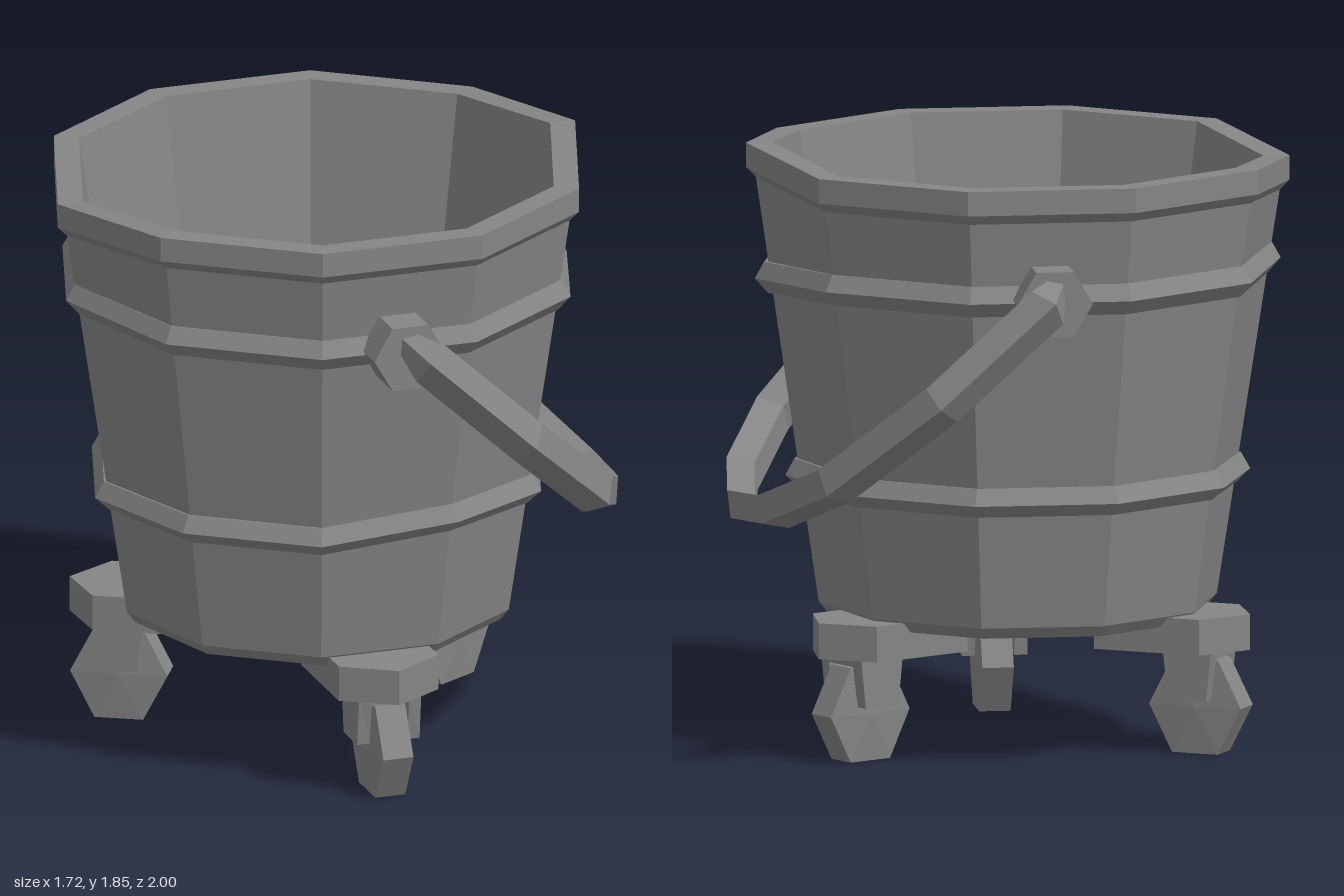
import * as THREE from 'three';

const mat = new THREE.MeshStandardMaterial({ color: 0x858585, flatShading: true });
const CX = -0.03; // axis of the bucket
const SIDES = 10;

function add(parent, name, geometry) {
  const mesh = new THREE.Mesh(geometry, mat);
  mesh.name = name;
  parent.add(mesh);
  return mesh;
}

function points2(list) {
  return list.map(p => new THREE.Vector2(...p));
}

// Ten-sided lathe with a corner on +x; lift(x, y, z) bends it slightly out of true
function ringed(profile, lift) {
  const geo = new THREE.LatheGeometry(points2(profile), SIDES, Math.PI / 2);
  const pos = geo.attributes.position;
  for (let i = 0; i < pos.count; i++) {
    const y = pos.getY(i);
    pos.setY(i, y + lift(pos.getX(i), y, pos.getZ(i)));
  }
  return geo;
}

// Diamond-section bar swept along a path lying in the plane normal to v, thinner at both ends
function sweepBar(path, v, halfWidth, halfHeight, endScale) {
  const verts = [], index = [], n = path.length;
  path.forEach((p, i) => {
    const before = p.clone().sub(path[Math.max(i - 1, 0)]).normalize();
    const after = path[Math.min(i + 1, n - 1)].clone().sub(p).normalize();
    const t = before.clone().add(after).normalize();
    const miter = 1 / Math.max(t.dot(i < n - 1 ? after : before), 0.6);
    const scale = i === 0 || i === n - 1 ? endScale : 1;
    const side = v.clone().cross(t).multiplyScalar(halfWidth * miter * scale);
    const up = v.clone().multiplyScalar(halfHeight * scale);
    for (const o of [side, up, side.clone().negate(), up.clone().negate()]) {
      verts.push(p.x + o.x, p.y + o.y, p.z + o.z);
    }
    if (i === n - 1) return;
    for (let j = 0; j < 4; j++) {
      const a = i * 4 + j, b = i * 4 + (j + 1) % 4;
      index.push(a, b, b + 4, a, b + 4, a + 4);
    }
  });
  const e = (n - 1) * 4;
  index.push(0, 2, 1, 0, 3, 2, e, e + 1, e + 2, e, e + 2, e + 3);
  const geo = new THREE.BufferGeometry();
  geo.setAttribute('position', new THREE.Float32BufferAttribute(verts, 3));
  geo.setIndex(index);
  geo.computeVertexNormals();
  return geo;
}

// Caster pointing along +z, placed out from the bucket axis
function makeCaster() {
  const caster = new THREE.Group();
  caster.name = 'caster';

  const plate = new THREE.ExtrudeGeometry(
    new THREE.Shape(points2([[-0.16, 0.315], [0.16, 0.315], [0.16, 0.66], [0, 0.76], [-0.16, 0.66]])),
    { depth: 0.11, bevelEnabled: false });
  plate.rotateX(Math.PI / 2).translate(0, 0.43, 0);
  add(caster, 'casterPlate', plate);

  // Fork straddling the wheel, narrower towards the bottom
  const fork = new THREE.ExtrudeGeometry(
    new THREE.Shape(points2([[-0.1, 0.17], [-0.06, 0.17], [-0.06, 0.295], [0.06, 0.295],
      [0.06, 0.17], [0.1, 0.17], [0.1, 0.33], [-0.1, 0.33]])),
    { depth: 0.16, bevelEnabled: false });
  fork.translate(0, 0, -0.08);
  const pos = fork.attributes.position;
  for (let i = 0; i < pos.count; i++) {
    if (pos.getY(i) < 0.2) pos.setZ(i, pos.getZ(i) * 0.78);
  }
  fork.translate(0, 0, 0.595);
  add(caster, 'casterFork', fork);

  // Six-sided wheel, slightly domed on both faces
  const wheel = new THREE.LatheGeometry(
    points2([[0, -0.06], [0.15, -0.048], [0.15, 0.048], [0, 0.06]]), 6);
  wheel.rotateZ(Math.PI / 2).scale(1, 1.115, 1).translate(0, 0.145, 0.6);
  add(caster, 'casterWheel', wheel);
  return caster;
}

export function createModel() {
  const model = new THREE.Group();
  model.name = 'bucketOnCasters';

  const bucket = new THREE.Group();
  bucket.name = 'bucket';
  bucket.position.x = CX;
  model.add(bucket);

  // Outer wall, rim, inner wall and floor; the rim tilts up at +x and down at -x
  add(bucket, 'bucketBody', ringed(
    [[0, 0.4], [0.58, 0.4], [0.608, 0.435], [0.8, 1.705], [0.83, 1.735],
      [0.83, 1.81], [0.75, 1.81], [0.53, 0.46], [0, 0.46]],
    (x, y, z) => (y > 1.6 && Math.abs(z) < 0.01 ? Math.sign(x) * 0.037 : 0)));

  // Hoops round the wall
  add(bucket, 'upperHoop', ringed(
    [[0.74, 1.415], [0.764, 1.415], [0.803, 1.46], [0.775, 1.51], [0.75, 1.51]],
    (x, y, z) => (x > 0 && Math.abs(z) < 0.01 ? -0.03 : 0)));
  add(bucket, 'lowerHoop', ringed(
    [[0.64, 0.785], [0.668, 0.785], [0.71, 0.825], [0.682, 0.875], [0.65, 0.875]],
    (x, y, z) => (x > 0 && z > 0.5 ? 0.03 : x < 0 && Math.abs(z) < 0.01 ? -0.01 : 0)));

  // Hexagonal pivots for the handle
  for (const s of [1, -1]) {
    const pivot = new THREE.CylinderGeometry(0.115, 0.115, 0.18, 6, 1, false, Math.PI / 2);
    pivot.rotateX(Math.PI / 2).translate(0, 1.47, s * 0.77);
    add(bucket, 'handlePivot', pivot);
  }

  // Handle hanging down towards +x; each pair is distance along the slope and z
  const half = [[-0.03, 0.84], [0.035, 0.95], [0.47, 0.925], [0.88, 0.7], [1.07, 0.36]];
  const slope = [...half, [1.132, 0], ...half.slice().reverse().map(([s, z]) => [s, -z])];
  const path = slope.map(([s, z]) => new THREE.Vector3(-0.02 + 0.733 * s, 1.5 - 0.68 * s, z));
  add(model, 'handle', sweepBar(path, new THREE.Vector3(0.68, 0.733, 0).normalize(), 0.05, 0.07, 0.5));

  // Three casters, one at the front
  for (let i = 0; i < 3; i++) {
    const caster = makeCaster();
    caster.position.x = CX;
    caster.rotation.y = i * Math.PI * 2 / 3;
    model.add(caster);
  }
  return model;
}
